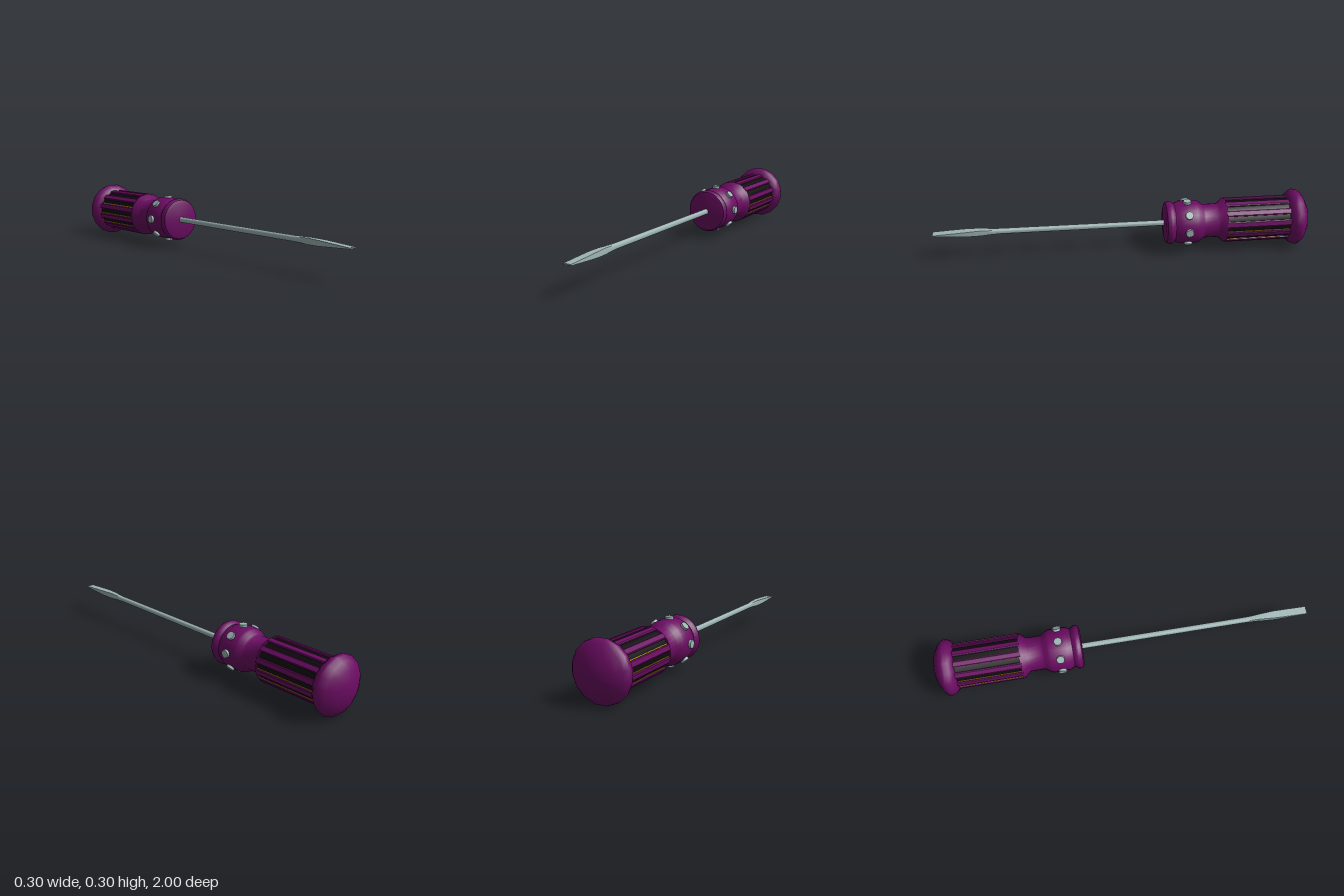
import * as THREE from 'three';
import { toCreasedNormals } from 'three/addons/utils/BufferGeometryUtils.js';

const paint = (color) => new THREE.MeshStandardMaterial({ color });
const purple = paint(0x6c0c63);
const black = paint(0x0d0b0d);
const steel = paint(0x9fb5b6);
const yellow = paint(0xb8860b);

// Turned solid along z; profile is [radius, z] from back to front
function turned(name, profile, sides, material) {
  const geo = new THREE.LatheGeometry(profile.map(([r, z]) => new THREE.Vector2(r, z)), sides, Math.PI / sides);
  geo.rotateX(Math.PI / 2);
  const mesh = new THREE.Mesh(toCreasedNormals(geo, 0.75), material);
  mesh.name = name;
  return mesh;
}

// Grip section: twelve ribs with slots between them
function ribbedGrip(z0, z1) {
  const shape = new THREE.Shape();
  const outer = 0.12, inner = 0.1, pitch = Math.PI / 6;
  for (let i = 0; i < 12; i++) {
    const a = (i + 0.5) * pitch;
    [[-0.28, inner], [-0.26, outer - 0.003], [-0.18, outer], [0.18, outer], [0.26, outer - 0.003], [0.28, inner]]
      .forEach(([t, r], k) => {
        const x = r * Math.cos(a + t * pitch), y = r * Math.sin(a + t * pitch);
        if (i + k === 0) shape.moveTo(x, y); else shape.lineTo(x, y);
      });
  }
  shape.closePath();
  const geo = new THREE.ExtrudeGeometry(shape, { depth: z1 - z0, bevelEnabled: false });
  geo.translate(0, 0, z0);
  const mesh = new THREE.Mesh(geo, purple);
  mesh.name = 'gripRibs';
  return mesh;
}

// Shaft whose front end widens sideways and thins into a flat blade
function bladedShaft() {
  const profile = [[0, -0.26], [1, -0.26], [1, 0.2], [1, 0.65], [1, 0.7], [1, 0.75], [1, 0.82], [1, 0.9], [1, 1], [0, 1]];
  const geo = new THREE.LatheGeometry(profile.map(([r, z]) => new THREE.Vector2(r, z)), 16);
  geo.rotateX(Math.PI / 2);
  const p = geo.attributes.position;
  const { lerp, smoothstep } = THREE.MathUtils;
  for (let i = 0; i < p.count; i++) {
    const z = p.getZ(i);
    const flat = smoothstep(z, 0.65, 0.85);
    const halfWidth = lerp(0.015, 0.021, flat);
    const halfHeight = z < 0.75 ? lerp(0.015, 0.018, smoothstep(z, 0.65, 0.75))
      : lerp(0.018, 0.003, (z - 0.75) / 0.25);
    // Square off the cross-section toward the tip
    const r = Math.hypot(p.getX(i), p.getY(i));
    const square = r > 0 ? lerp(1, 1 / Math.max(Math.abs(p.getX(i)), Math.abs(p.getY(i))), flat) : 0;
    p.setX(i, p.getX(i) * halfWidth * square);
    p.setY(i, p.getY(i) * halfHeight * square);
  }
  const mesh = new THREE.Mesh(toCreasedNormals(geo, 0.6), steel);
  mesh.name = 'shaftAndBlade';
  return mesh;
}

export function createModel() {
  const root = new THREE.Group();
  root.name = 'screwdriver';
  const tool = new THREE.Group();
  tool.name = 'tool';
  // The tool lies with its axis very slightly off straight
  tool.position.set(-0.01, 0.155, 0);
  tool.rotation.set(-0.004, -0.01, 0);
  root.add(tool);

  // Domed end cap
  tool.add(turned('endCap', [
    [0, -1], [0.045, -0.997], [0.09, -0.982], [0.13, -0.96], [0.148, -0.94],
    [0.151, -0.925], [0.143, -0.905], [0.125, -0.885], [0.1, -0.875], [0, -0.875],
  ], 16, purple));

  // Grip with dark slot floors
  tool.add(ribbedGrip(-0.89, -0.54));
  tool.add(turned('slotFloors', [[0, -0.88], [0.111, -0.88], [0.111, -0.545], [0, -0.545]], 36, black));

  // Thin yellow lines along the lower edge of some side slots
  for (const [angle, edge] of [[0, -1], [-30, -1], [180, 1], [150, 1], [210, 1]]) {
    const a = THREE.MathUtils.degToRad(angle + edge * 5.5);
    const line = new THREE.Mesh(new THREE.BoxGeometry(0.004, 0.004, 0.33), yellow);
    line.name = 'slotLine';
    line.position.set(0.111 * Math.cos(a), 0.111 * Math.sin(a), -0.71);
    line.rotation.z = a;
    tool.add(line);
  }

  // Neck, collar and front ring
  tool.add(turned('neckAndCollar', [
    [0, -0.545], [0.119, -0.545], [0.117, -0.535], [0.092, -0.508], [0.09, -0.5], [0.09, -0.43],
    [0.095, -0.42], [0.11, -0.4], [0.115, -0.385], [0.116, -0.34], [0.114, -0.295],
    [0.106, -0.28], [0.103, -0.27], [0.108, -0.262], [0.115, -0.252],
    [0.116, -0.24], [0.108, -0.225], [0.09, -0.219], [0, -0.217],
  ], 28, purple));

  // Eight round studs around the collar
  for (let i = 0; i < 8; i++) {
    const stud = new THREE.Mesh(new THREE.CylinderGeometry(0.021, 0.021, 0.03, 14), steel);
    stud.name = 'collarStud';
    const a = i * Math.PI / 4;
    stud.position.set(0.112 * Math.cos(a), 0.112 * Math.sin(a), -0.338);
    stud.rotation.z = a - Math.PI / 2;
    tool.add(stud);
  }

  tool.add(bladedShaft());
  return root;
}
